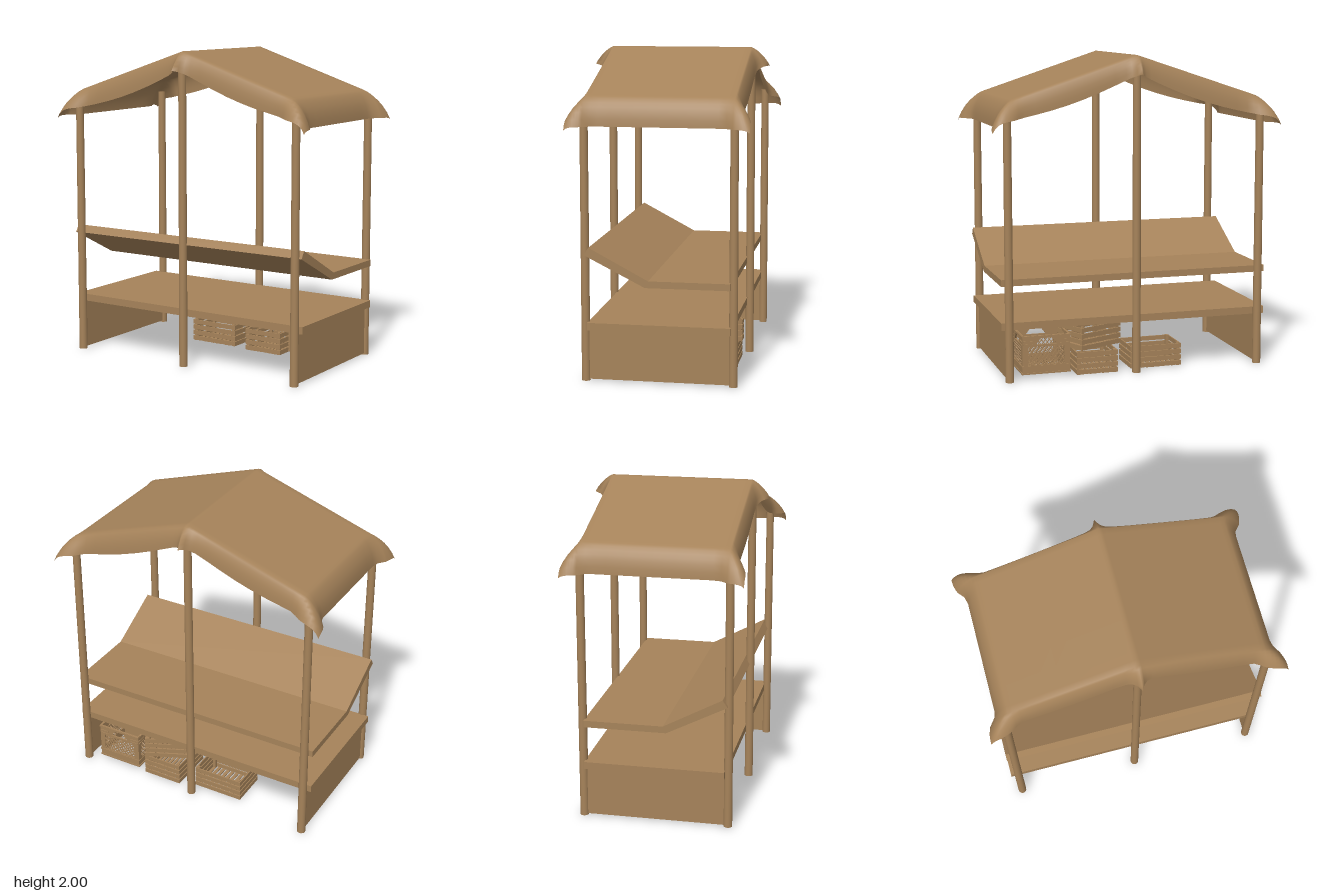
import * as THREE from 'three';

const wood = new THREE.MeshStandardMaterial({ color: 0xa6835a, side: THREE.DoubleSide });
wood.name = 'tan wood';

function add(parent, name, geo, x = 0, y = 0, z = 0) {
  const m = new THREE.Mesh(geo, wood);
  m.name = name;
  m.position.set(x, y, z);
  parent.add(m);
  return m;
}
const box = (w, h, d) => new THREE.BoxGeometry(w, h, d);
const smooth = THREE.MathUtils.smoothstep;

// Draped cloth: flat gable slopes, rolled edges, flared at the post tops
function canopyGeometry() {
  const edge = [0.15, 0.3, 0.45, 0.6, 0.8, 1];
  const half = flats => [...flats.map(p => [p, 0]), ...edge.map(e => [flats[flats.length - 1], e])];
  const mirror = h => [...h.slice(1).reverse().map(([p, e]) => [p, e, -1]), ...h.map(([p, e]) => [p, e, 1])];
  const xs = mirror(half([0, 0.02, 0.045, 0.08, 0.15, 0.25, 0.35, 0.45, 0.55, 0.65, 0.72, 0.76, 0.79]));
  const zs = mirror(half([0, 0.15, 0.28, 0.36, 0.41, 0.45]));
  const pos = [], index = [];
  for (const [px, e, sx] of xs) {
    for (const [pz, f, sz] of zs) {
      let x = px + 0.075 * Math.sin(e * Math.PI / 2);
      let z = pz + 0.038 * Math.sin(f * Math.PI / 2);
      const dropX = 0.15 * e ** 1.5;
      const dropZ = (0.115 + 0.035 * Math.sin(Math.PI * Math.min(1, x / 0.82))) * f ** 1.3;
      const y = 2 - 0.33 * x - Math.cbrt(dropX ** 3 + dropZ ** 3);
      const flareX = 0.065 * e * smooth(z, 0.38, 0.488);
      const flareZ = 0.065 * f * smooth(x, 0.7, 0.85) + 0.08 * f * Math.exp(-x / 0.03);
      x += flareX;
      z += flareZ;
      pos.push(sx * x, y, sz * z);
    }
  }
  const n = zs.length;
  for (let i = 0; i < xs.length - 1; i++) {
    for (let j = 0; j < n - 1; j++) {
      const a = i * n + j, b = a + 1, c = a + n, d = c + 1;
      index.push(a, b, c, b, d, c);
    }
  }
  const g = new THREE.BufferGeometry();
  g.setAttribute('position', new THREE.Float32BufferAttribute(pos, 3));
  g.setIndex(index);
  g.computeVertexNormals();
  return g;
}

// Open crate of horizontal slats with corner battens
function slatCrate(w, h, d) {
  const crate = new THREE.Group();
  crate.name = 'slatCrate';
  const t = 0.008, rows = 4, pitch = h / rows;
  for (let i = 0; i < rows; i++) {
    const y = pitch * (i + 0.5);
    for (const s of [-1, 1]) {
      add(crate, 'longSlat', box(w, pitch * 0.76, t), 0, y, s * (d - t) / 2);
      add(crate, 'endSlat', box(t, pitch * 0.76, d - 2 * t), s * (w - t) / 2, y, 0);
    }
  }
  for (const sx of [-1, 1]) for (const sz of [-1, 1])
    add(crate, 'cornerBatten', box(0.02, h, 0.02), sx * (w / 2 - 0.018), h / 2, sz * (d / 2 - 0.018));
  const count = 10;
  for (let i = 0; i < count; i++)
    add(crate, 'floorSlat', box(w / count * 0.65, 0.007, d - 2 * t), (i + 0.5 - count / 2) * w / count, 0.004, 0);
  return crate;
}

// Diagonal bars clipped to a w by h rectangle centred on the origin
function lattice(w, h, step) {
  const g = new THREE.Group();
  g.name = 'lattice';
  const m = 1.3, reach = (h + m * w) / 2;
  for (let c = -reach + step / 2; c < reach; c += step) {
    const x0 = Math.max(-w / 2, (-h / 2 - c) / m), x1 = Math.min(w / 2, (h / 2 - c) / m);
    if (x1 - x0 < 0.004) continue;
    for (const s of [-1, 1]) {
      const bar = add(g, 'latticeBar', box((x1 - x0) * Math.hypot(1, m), 0.005, 0.006),
        s * (x0 + x1) / 2, m * (x0 + x1) / 2 + c, 0);
      bar.rotation.z = s * Math.atan(m);
    }
  }
  return g;
}

// Moulded crate with lattice windows and a hand hole in each side
function moldedCrate(w, h, d) {
  const crate = new THREE.Group();
  crate.name = 'moldedCrate';
  const path = pts => pts.map(([x, y]) => new THREE.Vector2(x, y));
  const t = 0.01;
  const wall = width => {
    const g = new THREE.Group();
    g.name = 'crateWall';
    const a = width / 2, b = a - 0.035;
    const shape = new THREE.Shape(path([[-a, 0], [a, 0], [a, h], [-a, h]]));
    shape.holes.push(new THREE.Path(path([[-b, 0.06], [-b, 0.175], [b, 0.175], [b, 0.06]])));
    shape.holes.push(new THREE.Path(path([[-0.065, 0.188], [-0.035, 0.228], [0.035, 0.228], [0.065, 0.188]])));
    add(g, 'wallFrame', new THREE.ExtrudeGeometry(shape, { depth: t, bevelEnabled: false }), 0, 0, -t);
    const net = lattice(2 * b, 0.115, 0.034);
    net.position.set(0, 0.1175, -t / 2);
    g.add(net);
    for (const y of [0.006, 0.05, h - 0.006]) add(g, 'rib', box(width + 0.006, 0.01, 0.008), 0, y, 0);
    for (const s of [-1, 1]) for (const y of [0.19, 0.21])
      add(g, 'shortRib', box(0.06, 0.006, 0.008), s * (a - 0.035), y, 0);
    return g;
  };
  for (let i = 0; i < 4; i++) {
    const side = wall(i % 2 ? d : w), r = (i % 2 ? w : d) / 2;
    side.rotation.y = i * Math.PI / 2;
    side.position.set(Math.sin(i * Math.PI / 2) * r, 0, Math.cos(i * Math.PI / 2) * r);
    crate.add(side);
  }
  const floor = lattice(w - 0.02, d - 0.02, 0.045);
  floor.rotation.x = -Math.PI / 2;
  floor.position.y = 0.006;
  crate.add(floor);
  return crate;
}

export function createModel() {
  const stall = new THREE.Group();
  stall.name = 'marketStall';

  add(stall, 'canopy', canopyGeometry());

  // Posts and end panels
  for (const x of [-0.82, 0, 0.82]) {
    const h = x ? 1.665 : 1.91;
    for (const z of [0.456, -0.452])
      add(stall, 'post', new THREE.CylinderGeometry(0.025, 0.027, h, 16), x, h / 2, z);
    if (x) add(stall, 'endPanel', box(0.02, 0.34, 0.88), x, 0.18, 0);
  }

  // Lower shelf
  add(stall, 'lowerShelf', box(1.735, 0.046, 0.875), -0.003, 0.346, 0);

  // Counter: flat at the back, sloping up to the front
  const profile = [[0.425, 0.833], [0.06, 0.64], [-0.435, 0.64], [-0.435, 0.598], [0.08, 0.598], [0.455, 0.787]];
  const counter = new THREE.ExtrudeGeometry(
    new THREE.Shape(profile.map(([z, y]) => new THREE.Vector2(z, y))), { depth: 1.735, bevelEnabled: false });
  counter.rotateY(-Math.PI / 2);
  add(stall, 'counter', counter, 0.8645, 0, 0);

  // Crates beneath the shelf
  const place = (crate, x, y, z, turn = 0) => {
    crate.position.set(x, y, z);
    crate.rotation.y = turn;
    stall.add(crate);
  };
  place(slatCrate(0.34, 0.15, 0.25), -0.157, 0, -0.25);
  place(slatCrate(0.27, 0.15, 0.32), 0.247, 0, -0.26);
  place(slatCrate(0.32, 0.15, 0.25), 0.262, 0.16, -0.27, 0.42);
  place(moldedCrate(0.305, 0.245, 0.29), 0.58, 0.03, -0.28);

  return stall;
}
